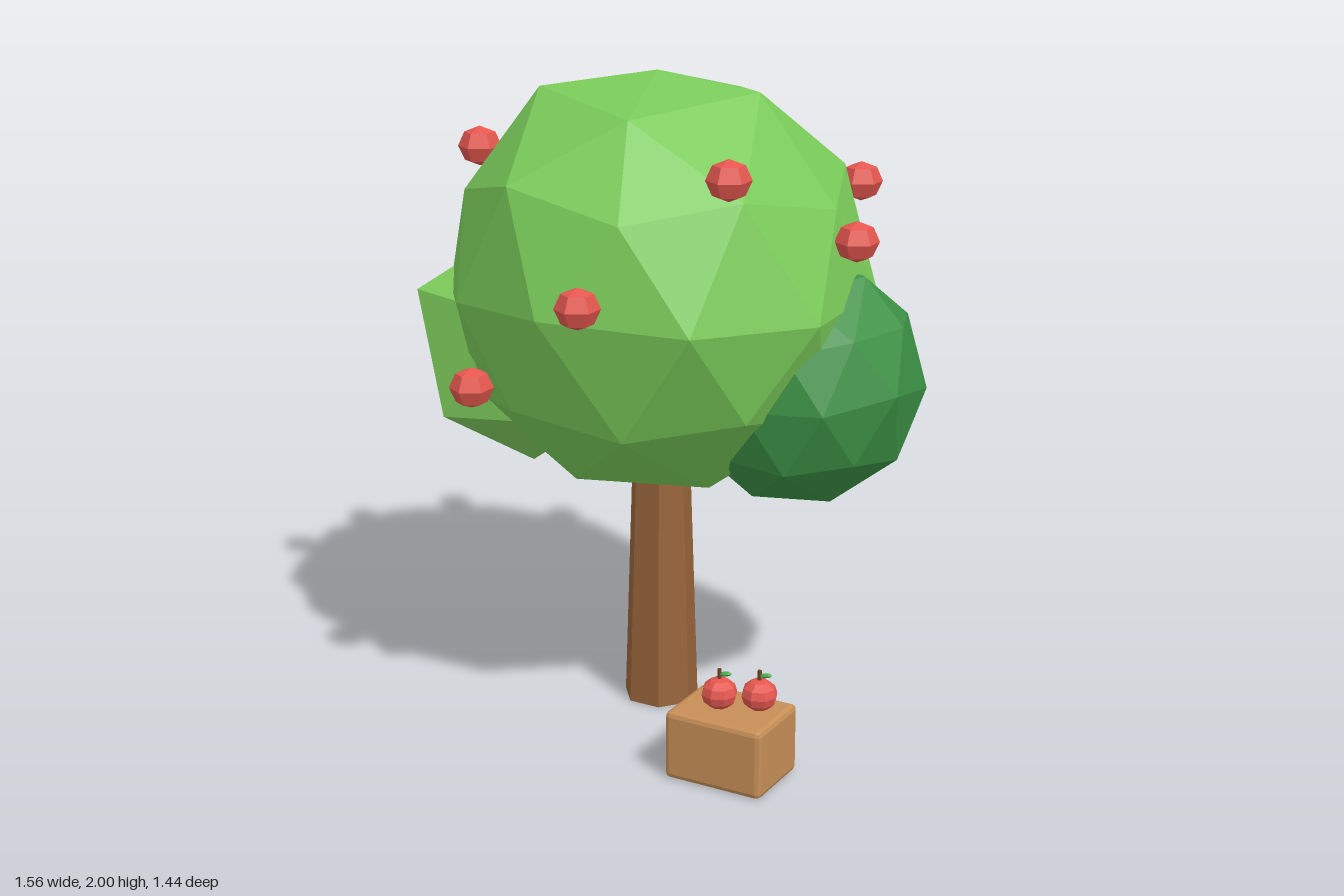
import * as THREE from 'three';
import { RoundedBoxGeometry } from 'three/addons/geometries/RoundedBoxGeometry.js';

const paint = (name, color) =>
  Object.assign(new THREE.MeshStandardMaterial({ color, flatShading: true }), { name });

export function createModel() {
  const mats = {
    crown: paint('leaf green', 0x7acb5a),
    bush: paint('light green', 0x80d05e),
    dark: paint('dark green', 0x3c9145),
    bark: paint('bark brown', 0x98643c),
    crate: paint('crate brown', 0xc68e56),
    apple: paint('apple red', 0xe5574f),
    stem: paint('stem brown', 0x6b4423),
    leaf: paint('small leaf green', 0x4caf50),
  };
  const tree = new THREE.Group();
  tree.name = 'appleTree';

  const add = (parent, name, geometry, material, x, y, z) => {
    const mesh = new THREE.Mesh(geometry, material);
    mesh.name = name;
    mesh.position.set(x, y, z);
    parent.add(mesh);
    return mesh;
  };

  // Faceted foliage ball with a vertex at each pole; nearby corners are pulled onto the given points
  const foliage = (name, radius, detail, material, center, pulls = []) => {
    const g = new THREE.IcosahedronGeometry(radius, detail);
    g.rotateZ(-Math.atan((Math.sqrt(5) - 1) / 2));
    g.translate(...center);
    const p = g.attributes.position;
    const v = new THREE.Vector3();
    const targets = pulls.map((a) => new THREE.Vector3(...a));
    for (let i = 0; i < p.count; i++) {
      v.fromBufferAttribute(p, i);
      const t = targets.find((q) => q.distanceTo(v) < radius * 0.2);
      if (t) p.setXYZ(i, t.x, t.y, t.z);
    }
    g.computeVertexNormals();
    add(tree, name, g, material, 0, 0, 0);
  };

  // Trunk
  const trunk = new THREE.CylinderGeometry(0.09, 0.118, 0.85, 7);
  trunk.rotateY(Math.PI);
  add(tree, 'trunk', trunk, mats.bark, -0.03, 0.425, -0.018);

  // Foliage
  foliage('mainCrown', 0.655, 1, mats.crown, [-0.03, 1.36, -0.02], [
    [-0.03, 2.0, 0], [-0.02, 0.712, -0.03],
    [0.3, 1.957, -0.02], [-0.34, 1.95, 0.16], [-0.34, 1.92, -0.25],
    [0.08, 1.915, 0.36], [0.08, 1.915, -0.31],
    [0.55, 1.64, -0.02], [0.14, 1.64, -0.62], [-0.2, 1.735, 0.56],
    [-0.01, 1.37, -0.72], [0.395, 1.36, -0.53], [0.375, 1.36, 0.533], [-0.06, 1.38, 0.64],
    [-0.43, 1.36, -0.595], [-0.675, 1.34, -0.19], [-0.675, 1.3, 0.165], [0.61, 1.35, 0.2],
  ]);
  foliage('sideCrown', 0.378, 1, mats.dark, [0.405, 1.085, -0.102], [
    [0.775, 1.12, 0.02], [0.735, 1.295, -0.1], [0.61, 1.43, -0.1], [0.44, 1.463, -0.08],
  ]);
  foliage('smallCrown', 0.389, 0, mats.bush, [-0.433, 1.138, 0.083]);

  // Apples on the crown
  const hanging = new THREE.SphereGeometry(0.066, 6, 4);
  hanging.rotateY(Math.PI / 2);
  hanging.scale(1, 0.92, 1);
  [
    [-0.55, 1.753, 0.17], [-0.615, 1.635, -0.235], [-0.302, 1.768, -0.495],
    [0.073, 1.673, -0.618], [0.442, 1.64, -0.42], [0.619, 1.554, -0.015],
    [0.388, 1.772, 0.335], [0.087, 1.439, 0.65], [-0.346, 1.12, 0.543],
  ].forEach((c, i) => add(tree, 'treeApple' + (i + 1), hanging, mats.apple, ...c));

  // Crate with chamfered edges
  add(tree, 'crate', new RoundedBoxGeometry(0.315, 0.212, 0.245, 1, 0.016), mats.crate, 0.433, 0.106, 0.378);

  // Apples on the crate, each with a stem and a leaf
  const body = new THREE.SphereGeometry(0.055, 8, 6);
  body.scale(1, 0.87, 1);
  const stem = new THREE.CylinderGeometry(0.006, 0.006, 0.045, 6);
  const leaf = new THREE.SphereGeometry(1, 8, 4);
  leaf.scale(0.02, 0.007, 0.011);
  [[0.396, 0.383], [0.504, 0.336]].forEach(([x, z], i) => {
    const apple = new THREE.Group();
    apple.name = 'crateApple' + (i + 1);
    apple.position.set(x, 0.253, z);
    add(apple, 'fruit', body, mats.apple, 0, 0, 0);
    add(apple, 'stem', stem, mats.stem, 0, 0.054, 0);
    add(apple, 'leaf', leaf, mats.leaf, 0.02, 0.064, 0).rotation.z = 0.2;
    tree.add(apple);
  });

  return tree;
}
